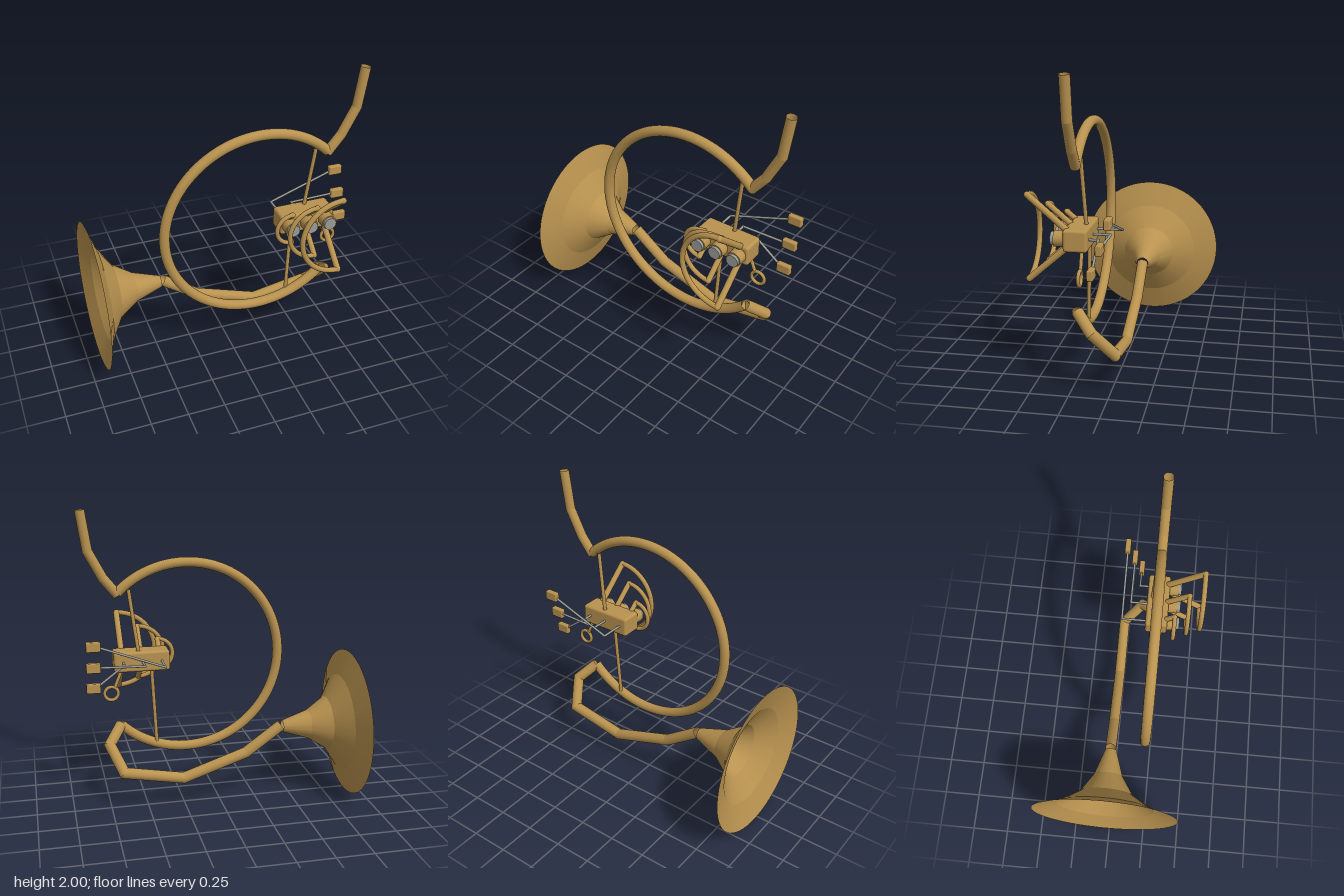
import * as THREE from 'three';
import { toCreasedNormals } from 'three/addons/utils/BufferGeometryUtils.js';
import { RoundedBoxGeometry } from 'three/addons/geometries/RoundedBoxGeometry.js';

const brass = new THREE.MeshStandardMaterial({ color: 0xb8924f, side: THREE.DoubleSide });
const steel = new THREE.MeshStandardMaterial({ color: 0x999b95 });
const V = (x, y, z) => new THREE.Vector3(x, y, z);

// Round pipe along straight runs, mitred at each corner
function pipeGeometry(points, radius, sides = 20) {
  const dirs = points.slice(1).map((p, i) => p.clone().sub(points[i]).normalize());
  const side = dirs[0].clone().cross(Math.abs(dirs[0].z) > 0.9 ? V(0, 1, 0) : V(0, 0, 1)).normalize();
  const up = dirs[0].clone().cross(side);
  const position = [], normal = [], index = [];
  let ring = [];
  for (let i = 0; i <= sides; i++) {
    const a = (i / sides) * Math.PI * 2;
    ring.push(points[0].clone().addScaledVector(side, radius * Math.cos(a)).addScaledVector(up, radius * Math.sin(a)));
  }
  dirs.forEach((dir, s) => {
    const end = points[s + 1];
    const plane = dir.clone().add(dirs[s + 1] ?? dir).normalize();
    const next = ring.map((p) =>
      p.clone().addScaledVector(dir, end.clone().sub(p).dot(plane) / dir.dot(plane)));
    const base = position.length / 3;
    ring.forEach((p, i) => {
      const n = p.clone().sub(points[s]);
      n.addScaledVector(dir, -n.dot(dir)).normalize();
      position.push(...p.toArray(), ...next[i].toArray());
      normal.push(...n.toArray(), ...n.toArray());
      if (i < sides) {
        const a = base + i * 2;
        index.push(a, a + 2, a + 1, a + 1, a + 2, a + 3);
      }
    });
    ring = next;
  });
  const g = new THREE.BufferGeometry();
  g.setAttribute('position', new THREE.Float32BufferAttribute(position, 3));
  g.setAttribute('normal', new THREE.Float32BufferAttribute(normal, 3));
  g.setIndex(index);
  return g;
}

export function createModel() {
  const model = new THREE.Group();
  model.name = 'horn';
  const add = (name, geometry, material = brass, pos = [0, 0, 0], parent = model) => {
    const mesh = new THREE.Mesh(geometry, material);
    mesh.name = name;
    mesh.position.set(...pos);
    parent.add(mesh);
    return mesh;
  };
  const pipe = (name, points, radius, material = brass, parent = model) =>
    add(name, pipeGeometry(points.map((p) => V(...p)), radius), material, [0, 0, 0], parent);

  // Flared bell opening toward -x
  const flare = [[0.04, 0.44], [0.1, 0.625], [0.185, 0.755], [0.335, 0.85], [0.507, 0.908]]
    .map(([r, d]) => new THREE.Vector2(r, d));
  const bell = new THREE.LatheGeometry(flare, 64).rotateZ(Math.PI / 2);
  add('bell', toCreasedNormals(bell, 0.2), brass, [0, 0.508, -0.028]);

  // Large open coil, three quarters of a circle
  const coil = new THREE.TorusGeometry(0.652, 0.034, 20, 96, Math.PI * 1.5).rotateZ(Math.PI / 4);
  add('mainCoil', coil, brass, [0.188, 0.985, 0.207]);

  // Mouth pipe and the return pipe to the bell
  pipe('mouthPipe', [[0.645, 1.432, 0.207], [0.738, 1.547, 0.207], [0.833, 1.728, 0.207], [0.873, 1.997, 0.207]], 0.033);
  pipe('bellPipe', [[0.648, 0.525, 0.207], [0.74, 0.42, 0.1], [0.66, 0.26, -0.03],
    [0.255, 0.187, -0.03], [-0.18, 0.335, -0.03], [-0.43, 0.515, -0.03]], 0.038);

  // Thin braces between coil and valve block
  pipe('upperBrace', [[0.575, 1.47, 0.19], [0.515, 1.0, 0.17]], 0.013);
  pipe('lowerBrace', [[0.435, 0.95, 0.17], [0.404, 0.38, 0.19]], 0.013);

  // Valve block
  const midY = 0.982;
  add('valveBlock', new RoundedBoxGeometry(0.38, 0.14, 0.15, 3, 0.018), brass, [0.5, midY, 0.21]);

  // Three valves, each with a cap, a slide and a lever
  const valves = [
    { x: 0.367, z: 0.332, r: 0.105, tube: 0.015, padY: 1.146, padZ: -0.026 },
    { x: 0.496, z: 0.42, r: 0.182, tube: 0.016, padY: 0.99, padZ: 0.025 },
    { x: 0.627, z: 0.512, r: 0.265, tube: 0.018, padY: 0.836, padZ: 0.077 },
  ];
  valves.forEach((v, i) => {
    const valve = new THREE.Group();
    valve.name = `valve${i + 1}`;
    model.add(valve);
    add('casing', new THREE.CylinderGeometry(0.05, 0.05, 0.08, 32).rotateX(Math.PI / 2), brass, [v.x, midY, 0.307], valve);
    add('cap', new THREE.CylinderGeometry(0.042, 0.042, 0.04, 32).rotateX(Math.PI / 2), steel, [v.x, midY, 0.347], valve);

    // Slide: half ring with two legs reaching back to the block
    const bow = new THREE.TorusGeometry(v.r, v.tube, 14, 40, Math.PI).rotateZ(Math.PI / 2);
    add('slideBow', bow, brass, [v.x, midY, v.z], valve);
    for (const s of [1, -1]) {
      pipe('slideLeg', [[v.x, midY + s * 0.045, 0.26], [v.x, midY + s * v.r, v.z]], v.tube + 0.003, brass, valve);
      add('slideElbow', new THREE.SphereGeometry(v.tube + 0.003, 16, 12), brass, [v.x, midY + s * v.r, v.z], valve);
    }

    // Lever rod and finger pad
    pipe('leverRod', [[v.x, midY, 0.15], [v.x, midY, v.padZ], [0.82, v.padY, v.padZ]], 0.008, steel, valve);
    add('fingerPad', new RoundedBoxGeometry(0.095, 0.066, 0.04, 2, 0.008), brass, [0.837, v.padY, v.padZ], valve);
  });

  // Finger ring on a short stem
  add('fingerRing', new THREE.TorusGeometry(0.046, 0.012, 12, 32), brass, [0.71, 0.762, 0.175]);
  pipe('ringStem', [[0.635, 0.93, 0.175], [0.685, 0.805, 0.175]], 0.012);

  return model;
}
